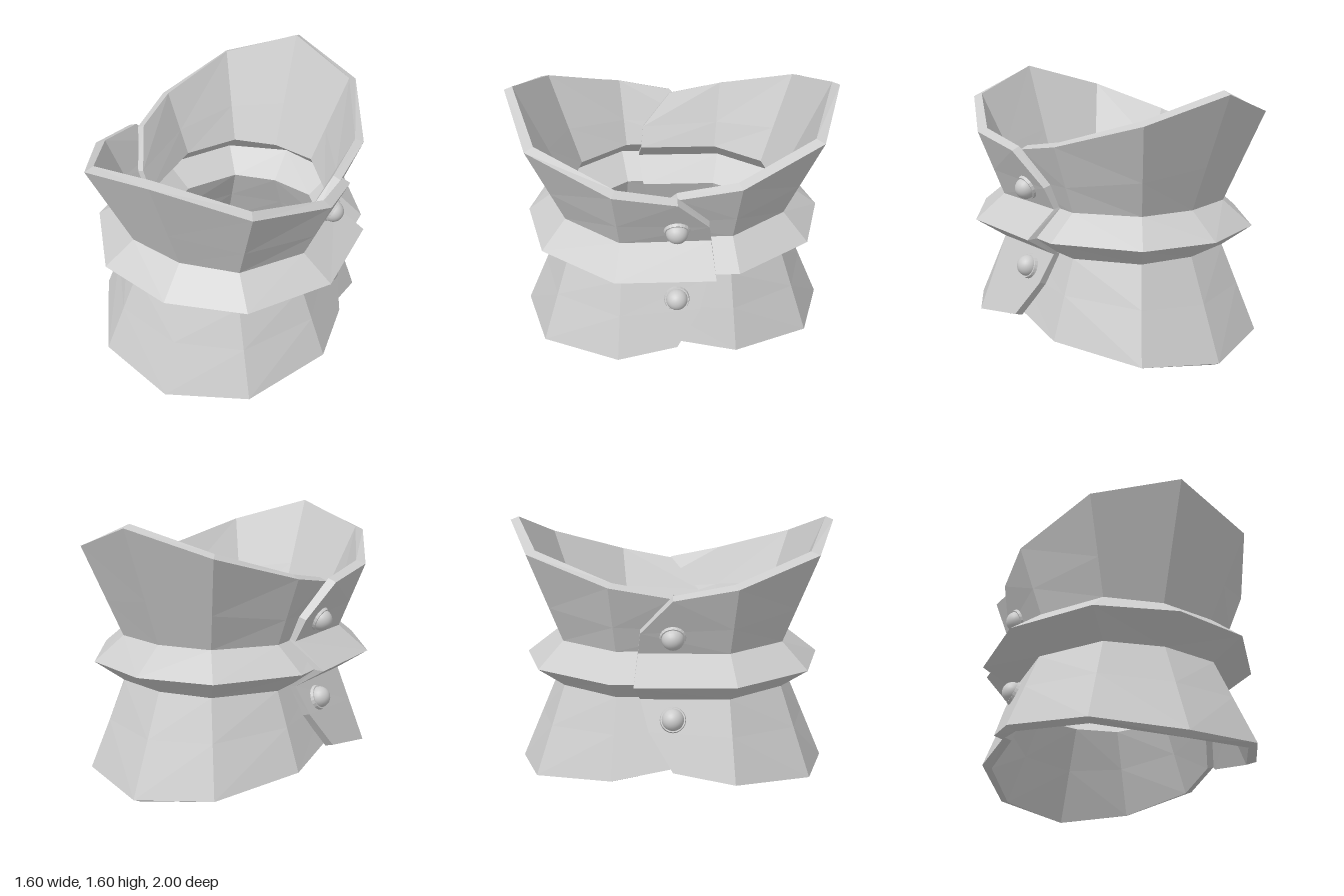
import * as THREE from 'three';

const mat = new THREE.MeshStandardMaterial({ color: 0xcccccc, flatShading: true, side: THREE.DoubleSide });
const smooth = new THREE.MeshStandardMaterial({ color: 0xcccccc });

// Cross-sections from bottom rim to top rim; each lists points from the centre line to the side end
const OUTER = {
  bottom: [[0, 0.025, 0.98], [0.5, 0.075, 0.83], [0.79, 0.15, 0.36], [0.76, 0.215, 0]],
  lowNeck: [[0, 0.61, 0.73], [0.35, 0.61, 0.66], [0.61, 0.61, 0.33], [0.6, 0.61, -0.19]],
  ridge: [[0, 0.74, 0.925], [0.47, 0.74, 0.8], [0.8, 0.74, 0.36], [0.8, 0.74, -0.22]],
  highNeck: [[0, 0.89, 0.73], [0.35, 0.89, 0.66], [0.61, 0.885, 0.33], [0.6, 0.885, -0.2]],
  top: [[0, 1.58, 1], [0.51, 1.435, 0.84], [0.765, 1.285, 0.36], [0.75, 1.22, 0]],
};
const INNER = {
  bottom: [[0, 0, 0.93], [0.47, 0.06, 0.78], [0.73, 0.13, 0.34], [0.71, 0.2, 0]],
  lowNeck: [[0, 0.6, 0.66], [0.31, 0.6, 0.6], [0.55, 0.6, 0.3], [0.55, 0.6, -0.19]],
  ridge: [[0, 0.74, 0.86], [0.43, 0.74, 0.74], [0.74, 0.74, 0.34], [0.74, 0.74, -0.22]],
  highNeck: [[0, 0.9, 0.655], [0.31, 0.9, 0.595], [0.54, 0.9, 0.3], [0.54, 0.9, -0.2]],
  top: [[0, 1.6, 0.95], [0.48, 1.455, 0.79], [0.71, 1.305, 0.34], [0.7, 1.24, 0]],
};

// Blend two sections; the end point is pushed back to shape the overlapping flap
function between(a, b, t, endZ) {
  const row = a.map((p, i) => p.map((v, k) => v + (b[i][k] - v) * t));
  row[3][2] = endZ;
  return row;
}

// Rows of seven mirrored points, running from -x to +x
function buildRows(s) {
  const rows = [
    s.bottom, between(s.lowNeck, s.bottom, 0.45, -0.14), s.lowNeck, s.ridge,
    s.highNeck, between(s.highNeck, s.top, 0.39, -0.185), s.top,
  ];
  return rows.map((r) => [...r.slice(1).reverse().map(([x, y, z]) => [-x, y, z]), ...r]);
}

// Half collar with thickness
function plateGeometry() {
  const out = buildRows(OUTER), inn = buildRows(INNER);
  const pos = [];
  const quad = (a, b, c, d, flip) => {
    if (flip) [a, b, c, d] = [b, c, d, a];
    pos.push(...a, ...b, ...c, ...a, ...c, ...d);
  };
  const R = out.length - 1, C = out[0].length - 1;
  for (let i = 0; i < C; i++) {
    const flip = i < C / 2;
    for (let j = 0; j < R; j++) {
      quad(out[j][i], out[j][i + 1], out[j + 1][i + 1], out[j + 1][i], flip);
      quad(inn[j][i], inn[j + 1][i], inn[j + 1][i + 1], inn[j][i + 1], !flip);
    }
    // rims
    quad(out[R][i], out[R][i + 1], inn[R][i + 1], inn[R][i], flip);
    quad(out[0][i], inn[0][i], inn[0][i + 1], out[0][i + 1], !flip);
  }
  // side ends
  for (let j = 0; j < R; j++) {
    quad(out[j][C], inn[j][C], inn[j + 1][C], out[j + 1][C]);
    quad(out[j][0], out[j + 1][0], inn[j + 1][0], inn[j][0]);
  }
  const g = new THREE.BufferGeometry();
  g.setAttribute('position', new THREE.Float32BufferAttribute(pos, 3));
  g.computeVertexNormals();
  return g;
}

// Domed rivet on a thin washer, its axis along the given normal
function rivet(name, side, y, ny) {
  const g = new THREE.Group();
  g.name = name;
  const washer = new THREE.Mesh(new THREE.CylinderGeometry(0.072, 0.08, 0.03, 20), mat);
  washer.name = 'rivetWasher';
  const dome = new THREE.Mesh(new THREE.SphereGeometry(0.065, 20, 14), smooth);
  dome.name = 'rivetDome';
  dome.position.y = 0.012;
  g.add(washer, dome);
  g.position.set(side * 0.65, y, 0);
  const normal = new THREE.Vector3(side, ny, 0).normalize();
  g.quaternion.setFromUnitVectors(new THREE.Vector3(0, 1, 0), normal);
  return g;
}

export function createModel() {
  const model = new THREE.Group();
  model.name = 'armourCollar';
  const geometry = plateGeometry();

  const front = new THREE.Mesh(geometry, mat);
  front.name = 'frontPlate';
  // narrower back plate tucks inside the front one
  const back = new THREE.Mesh(geometry, mat);
  back.name = 'backPlate';
  back.rotation.y = Math.PI;
  back.scale.x = 0.92;
  model.add(front, back);

  for (const [label, side] of [['left', 1], ['right', -1]]) {
    model.add(rivet(label + 'UpperRivet', side, 0.99, -0.45));
    model.add(rivet(label + 'LowerRivet', side, 0.5, 0.4));
  }
  return model;
}
